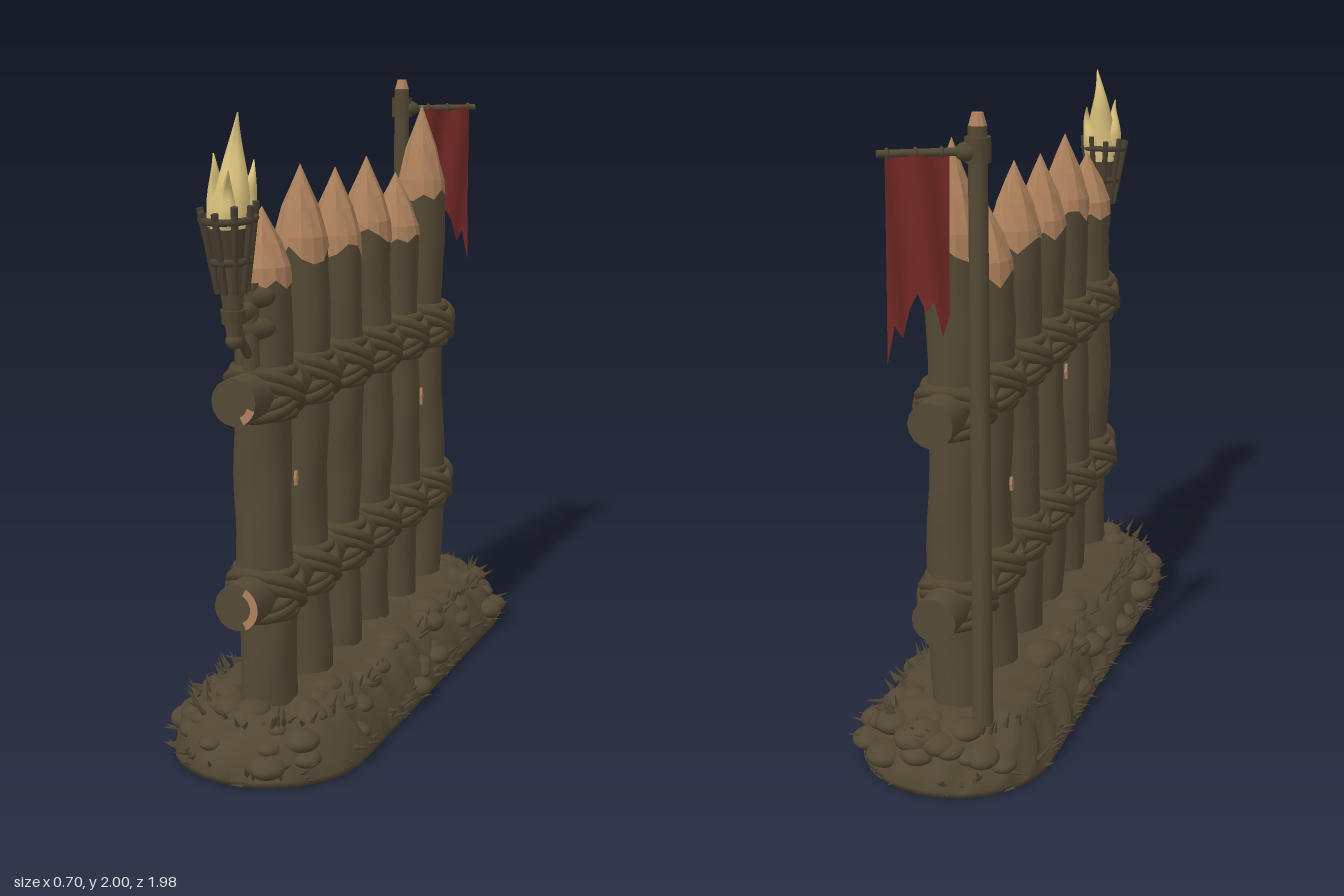
import * as THREE from 'three';
import { mergeGeometries } from 'three/addons/utils/BufferGeometryUtils.js';

const mat = (name, color, double) => {
  const m = new THREE.MeshStandardMaterial({ color });
  m.name = name;
  if (double) m.side = THREE.DoubleSide;
  return m;
};
const V = (x, y, z) => new THREE.Vector3(x, y, z);

export function createModel() {
  const bark = mat('bark', 0x544935);
  const earth = mat('earth', 0x524733);
  const rope = mat('rope', 0x50452f);
  const iron = mat('dark iron', 0x4a4032);
  const cutWood = mat('cut wood', 0xad815c);
  cutWood.flatShading = true;
  const cloth = mat('red cloth', 0x702824, true);
  const fire = mat('flame', 0xd9c07c, true);

  let seed = 7;
  const rnd = () => (seed = (seed * 16807) % 2147483647) / 2147483647;
  const spread = (a) => (rnd() * 2 - 1) * a;

  const root = new THREE.Group();
  root.name = 'palisade';
  const add = (name, geo, material, parent = root) => {
    const m = new THREE.Mesh(geo, material);
    m.name = name;
    parent.add(m);
    return m;
  };
  // Apply a rule to every vertex
  const warp = (geo, fn) => {
    const p = geo.attributes.position, v = V(0, 0, 0);
    for (let i = 0; i < p.count; i++) {
      fn(v.fromBufferAttribute(p, i), i);
      p.setXYZ(i, v.x, v.y, v.z);
    }
    geo.computeVertexNormals();
    return geo;
  };
  // Round bar between two points
  const bar = (a, b, r0, r1 = r0, sides = 10) => {
    const d = b.clone().sub(a);
    const g = new THREE.CylinderGeometry(r1, r0, d.length(), sides, 1);
    g.applyQuaternion(new THREE.Quaternion().setFromUnitVectors(V(0, 1, 0), d.normalize()));
    return g.translate((a.x + b.x) / 2, (a.y + b.y) / 2, (a.z + b.z) / 2);
  };
  const lump = (x, y, z, sx, sy, sz) =>
    new THREE.IcosahedronGeometry(1, 2).scale(sx, sy, sz).rotateY(spread(0.5)).translate(x, y, z);

  // Earth mound: profile swept round a stadium outline
  const outline = (u) => {
    const s = u * 4.48, q = Math.PI / 2;
    if (s < 0.47) return [s / 0.3, 0.65];
    if (s < 1.77) return [q, 0.65 - (s - 0.47)];
    if (s < 2.71) return [q + (s - 1.77) / 0.3, -0.65];
    if (s < 4.01) return [3 * q, -0.65 + (s - 2.71)];
    return [3 * q + (s - 4.01) / 0.3, 0.65];
  };
  const onMound = (u, r) => {
    const [a, c] = outline(u);
    return V(Math.sin(a) * r, 0, c + Math.cos(a) * r);
  };
  const profile = [[0, 0.185], [0.1, 0.185], [0.19, 0.175], [0.235, 0.145], [0.265, 0.1],
    [0.29, 0.055], [0.305, 0.02], [0.3, 0], [0, 0]];
  const N = 110;
  const noise = (v) => Math.sin(v.x * 23 + v.z * 17) * Math.sin(v.z * 29 - v.y * 21)
    + 0.6 * Math.sin(v.x * 51 - v.z * 43 + v.y * 37);
  const mound = new THREE.PlaneGeometry(1, 1, N, profile.length - 1);
  add('earthMound', warp(mound, (v, i) => {
    const [r, y] = profile[Math.floor(i / (N + 1))];
    const u = (i % (N + 1)) / N;
    v.copy(onMound(u === 1 ? 0 : u, r));
    v.y = y;
    if (y > 0) {
      const n = noise(v);
      v.copy(onMound(u === 1 ? 0 : u, r + (r > 0 ? n * 0.012 : 0)));
      v.y = y + n * 0.007;
    }
  }), earth);

  // Clods and small spikes of debris on the mound
  const clods = [], spikes = [];
  for (let i = 0; i < 80; i++) {
    const k = rnd();
    const p = onMound(rnd(), 0.13 + k * 0.15);
    const s = 0.025 + rnd() * 0.03;
    clods.push(lump(p.x, 0.175 - k * k * 0.13, p.z, s * 1.2, s * 0.7, s * 1.3));
  }
  for (let i = 0; i < 240; i++) {
    const low = i % 2, u = rnd(), [a] = outline(u);
    const p = onMound(u, low ? 0.29 : 0.19 + rnd() * 0.05);
    const h = 0.035 + rnd() * 0.035;
    const g = new THREE.ConeGeometry(0.009, h, 4).translate(0, h / 2, 0);
    g.rotateX(low ? 1.1 + spread(0.4) : 0.7 + spread(0.6)).rotateY(a + spread(0.7));
    spikes.push(g.translate(p.x, low ? 0.01 + rnd() * 0.06 : 0.16, p.z));
  }
  add('clods', mergeGeometries(clods), earth);
  add('debrisSpikes', mergeGeometries(spikes), earth);

  // Sharpened stakes: z, shoulder height, tip height
  const stakes = [[0.69, 1.47, 1.66], [0.42, 1.53, 1.765], [0.15, 1.51, 1.74],
    [-0.115, 1.53, 1.76], [-0.385, 1.49, 1.69], [-0.65, 1.63, 1.91]];
  const R = 0.084, SIDES = 14;
  stakes.forEach(([z, shoulder, tip], k) => {
    const g = new THREE.Group();
    g.name = 'stake';
    g.position.z = z;
    root.add(g);
    const h = shoulder - 0.1;
    const trunk = new THREE.CylinderGeometry(R, R * 1.04, h, SIDES, 16).translate(0, 0.1 + h / 2, 0);
    add('trunk', warp(trunk, (v) => {
      const fade = Math.min(1, (shoulder - v.y) * 6);
      const a = Math.atan2(v.x, v.z);
      const w = 1 + fade * (0.035 * Math.sin(3 * a + v.y * 7 + k) + 0.03 * Math.sin(2 * a - v.y * 17 + k * 2));
      v.x *= w;
      v.z *= w;
      v.x += fade * 0.006 * Math.sin(v.y * 5 + k);
    }), bark, g);
    const th = tip - shoulder, ragged = Array.from({ length: SIDES }, () => rnd() * 0.06);
    const pts = [[R * 1.04, 0], [R * 0.99, 0.02], [R * 0.66, th * 0.45], [R * 0.32, th * 0.75], [0.001, th]];
    const cone = new THREE.LatheGeometry(pts.map(([x, y]) => new THREE.Vector2(x, y)), SIDES);
    add('sharpenedTip', warp(cone, (v, i) => {
      const ring = i % pts.length, seg = Math.floor(i / pts.length) % SIDES;
      if (ring === 0) v.y -= ragged[seg];
      if (ring === 2) v.multiplyScalar(0.96 + 0.08 * (seg % 2));
      v.y += shoulder;
    }), cutWood, g);
  });

  // Bark chips showing pale wood
  [[0.086, 0.86, 0.655, 0.05], [0.086, 0.9, -0.43, 0.07], [-0.087, 1.0, 0.17, 0.06], [-0.087, 0.8, -0.4, 0.05]]
    .forEach(([x, y, z, h]) => add('barkChip',
      new THREE.CylinderGeometry(0.5, 0.5, 1, 6).rotateZ(Math.PI / 2).scale(0.009, h, 0.018).translate(x, y, z), cutWood));

  // Rails with lashings at every stake
  for (const y of [1.125, 0.52]) {
    const rail = new THREE.CylinderGeometry(0.069, 0.069, 1.74, 16, 24).rotateX(Math.PI / 2);
    rail.translate(0, y, 0.02);
    add('rail', rail, bark);
    const chip = new THREE.RingGeometry(0.045, 0.069, 10, 1, -1.1, y < 1 ? 2.2 : 0.8);
    add('railEndChip', chip.translate(0, y, 0.892), cutWood);

    stakes.forEach(([z]) => {
      const g = new THREE.Group();
      g.name = 'lashing';
      g.position.set(0, y, z);
      root.add(g);
      const strands = [lump(0, 0, 0, 0.108, 0.07, 0.09)];
      for (const s of [-1, 1]) for (const off of [-0.014, 0.014]) {
        const path = [];
        for (let i = 0; i < 20; i++) {
          const t = (i / 20) * Math.PI * 2;
          path.push(V(0.106 * Math.cos(t) + s * 0.003, s * 0.052 * Math.sin(t) + off, 0.088 * Math.sin(t)));
        }
        strands.push(new THREE.TubeGeometry(new THREE.CatmullRomCurve3(path, true), 40, 0.02, 7, true));
      }
      // Wraps above and below the rail
      for (const s of [-1, 1]) strands.push(new THREE.TorusGeometry(0.084, 0.017, 7, 24)
        .rotateX(Math.PI / 2).scale(1.03, 1, 1).translate(0, s * 0.064, 0).toNonIndexed());
      add('ropes', mergeGeometries(strands.map((q) => (q.index ? q.toNonIndexed() : q))), rope, g);
    });
  }

  // Banner pole, crossbar and ragged banner
  const px = -0.12, pz = -0.765;
  add('bannerPole', bar(V(px, 0.1, pz), V(px, 1.965, pz), 0.032, 0.027, 12), bark);
  add('poleTip', bar(V(px, 1.965, pz), V(px, 2, pz), 0.026, 0.016, 9), cutWood);
  add('poleBinding', new THREE.CylinderGeometry(0.037, 0.037, 0.07, 12).translate(px, 1.9, pz), rope);
  add('poleKnot', lump(px + 0.025, 1.895, pz - 0.015, 0.035, 0.028, 0.035), rope);
  const b0 = V(px, 1.895, pz), b1 = V(0.11, 1.9, -0.92);
  add('crossbar', bar(b0, b1, 0.012, 0.01, 8), bark);
  for (const t of [0.36, 0.62, 0.9]) {
    add('bannerTie', new THREE.TorusGeometry(0.012, 0.005, 6, 12).rotateY(Math.PI / 2 + 0.6)
      .translate(...b0.clone().lerp(b1, t).toArray()), rope);
  }
  const hem = [0.44, 0.5, 0.4, 0.43, 0.38, 0.42, 0.5, 0.46, 0.57];
  add('banner', warp(new THREE.PlaneGeometry(1, 1, 8, 10), (v, i) => {
    const u = v.x + 0.5, d = 0.5 - v.y;
    const p = b0.clone().lerp(b1, 0.28 + 0.64 * u);
    const wave = 0.012 * Math.sin(u * 9 + d * 3);
    v.set(p.x + wave * 0.5 - d * 0.012, p.y - d * hem[i % 9], p.z + wave - d * 0.045);
  }), cloth);

  // Torch, leaning forward from the end stake
  const torch = new THREE.Group();
  torch.name = 'torch';
  torch.position.set(0, 1.28, 0.875);
  torch.rotation.x = 0.08;
  root.add(torch);
  add('handle', new THREE.CylinderGeometry(0.045, 0.02, 0.28, 10).translate(0, 0.15, 0), bark, torch);
  add('handleEnd', lump(0, 0.02, 0, 0.026, 0.025, 0.026), bark, torch);
  add('handleBand', new THREE.CylinderGeometry(0.036, 0.034, 0.04, 10).translate(0, 0.09, 0), rope, torch);
  add('basketCore', new THREE.CylinderGeometry(0.06, 0.045, 0.1, 10).translate(0, 0.29, 0), iron, torch);
  for (const [y, r] of [[0.25, 0.055], [0.365, 0.075]]) {
    add('basketHoop', new THREE.TorusGeometry(r, 0.011, 6, 20).rotateX(Math.PI / 2).translate(0, y, 0), iron, torch);
  }
  for (let i = 0; i < 9; i++) {
    const a = (i / 9) * Math.PI * 2, s = Math.sin(a), c = Math.cos(a);
    add('basketSlat', bar(V(s * 0.042, 0.16, c * 0.042), V(s * 0.08, 0.4 + spread(0.015), c * 0.08), 0.01, 0.011, 5), iron, torch);
  }

  // Flame tongues: base x, y, z, radius, height, lean in x and z
  const flames = [[0, 1.6, 0.895, 0.058, 0.33, 0.015, -0.025], [0.01, 1.62, 0.94, 0.033, 0.16, 0.02, 0.025],
    [-0.03, 1.62, 0.9, 0.034, 0.2, -0.015, 0], [0.03, 1.62, 0.87, 0.033, 0.18, 0.02, -0.03]];
  flames.forEach(([x, y, z, r, h, lx, lz], k) => {
    const cone = new THREE.CylinderGeometry(0.002, r, h, 8, 10).translate(0, h / 2, 0);
    add('flame', warp(cone, (v) => {
      const t = v.y / h, curl = Math.sin(t * 7 + k) * 0.016 * t;
      const fat = 1 + 0.35 * Math.sin(t * Math.PI);
      v.set(v.x * fat + x + lx * t + curl * 0.6, v.y + y, v.z * fat + z + lz * t + curl);
    }), fire);
  });

  // Torch bracket
  add('bracketArm', bar(V(0, 1.38, 0.74), V(0, 1.36, 0.89), 0.026), bark);
  add('bracketStrut', bar(V(0, 1.22, 0.765), V(0, 1.34, 0.88), 0.014), bark);
  add('bracketPlate', bar(V(0, 1.2, 0.772), V(0, 1.45, 0.776), 0.026), bark);
  for (const y of [1.32, 1.41]) add('bracketLashing', lump(0, y, 0.755, 0.068, 0.04, 0.045), rope);

  return root;
}
